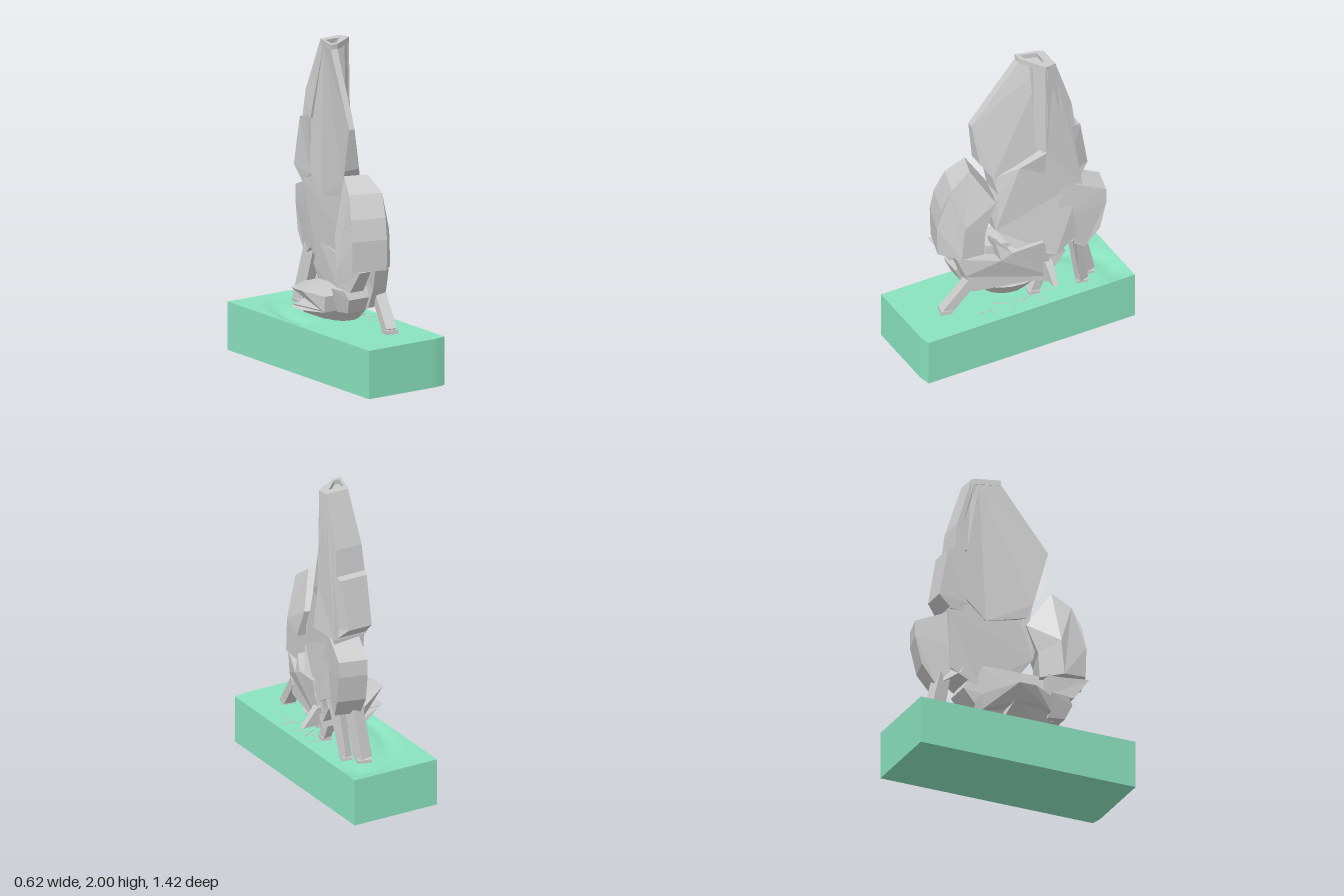
import * as THREE from 'three';

const grey = new THREE.MeshStandardMaterial({ color: 0xcccccc, flatShading: true });
const green = new THREE.MeshStandardMaterial({ color: 0x8ae2bf });

// Side-profile solid: each point is [z, y, right x, left x]
function slab(name, points) {
  let pts = points;
  const contour = pts.map(([z, y]) => new THREE.Vector2(-z, y));
  if (THREE.ShapeUtils.isClockWise(contour)) {
    pts = [...pts].reverse();
    contour.reverse();
  }
  const n = pts.length;
  const ring = side => pts.map(p => [p[side], p[1], p[0]]);
  const index = [];
  for (let i = 0; i < n; i++) {
    const j = (i + 1) % n;
    index.push(i, j, j + n, i, j + n, i + n);
  }
  for (const [a, b, c] of THREE.ShapeUtils.triangulateShape(contour, [])) {
    index.push(a + n, b + n, c + n, a, c, b);
  }
  let geo = new THREE.BufferGeometry();
  geo.setAttribute('position', new THREE.Float32BufferAttribute([...ring(2), ...ring(3)].flat(), 3));
  geo.setIndex(index);
  geo = geo.toNonIndexed();
  geo.computeVertexNormals();
  const mesh = new THREE.Mesh(geo, grey);
  mesh.name = name;
  return mesh;
}

// Group turned about the vertical axis, for the angled pods
function turned(name, x, z, angle, parts) {
  const group = new THREE.Group();
  group.name = name;
  group.position.set(x, 0, z);
  group.rotation.y = angle;
  group.add(...parts);
  return group;
}

function box(name, [w, h, d], [x, y, z], rotY = -0.25) {
  const mesh = new THREE.Mesh(new THREE.BoxGeometry(w, h, d), grey);
  mesh.position.set(x, y, z);
  mesh.rotation.y = rotY;
  mesh.name = name;
  return mesh;
}

// Bar from a to b
function strut(name, a, b, w, d) {
  const from = new THREE.Vector3(...a), to = new THREE.Vector3(...b);
  const mesh = new THREE.Mesh(new THREE.BoxGeometry(w, d, from.distanceTo(to)), grey);
  mesh.position.copy(from).add(to).multiplyScalar(0.5);
  mesh.lookAt(to);
  mesh.name = name;
  return mesh;
}

// Ground block with a gently tilted, scooped top and one clipped corner
function ground() {
  const geo = new THREE.BoxGeometry(0.575, 0.3, 1.425, 24, 1, 48);
  const p = geo.attributes.position;
  for (let i = 0; i < p.count; i++) {
    const x = p.getX(i) - 0.0125, z = p.getZ(i), top = p.getY(i) > 0;
    let y = (top ? 0.3 : 0) + 0.02 * (0.7125 - z) / 1.425;
    const groove = Math.hypot((x - 0.14) / 0.38, (z - 0.05) / 0.68) - 1;
    const edge = Math.min(0.275 - x, x + 0.3, 0.7125 - Math.abs(z));
    if (top && z < 0) y -= 0.02 * Math.exp(-groove * groove * 60) * Math.min(1, edge / 0.08);
    const clip = z > 0.712 ? 0.015 * Math.max(0, (x - 0.2) / 0.075) : 0;
    p.setXYZ(i, x, y, z - clip);
  }
  geo.computeVertexNormals();
  const mesh = new THREE.Mesh(geo, green);
  mesh.name = 'groundBlock';
  return mesh;
}

// Hollow rim at the tip of the fin
function tipRim() {
  const outline = pts => pts.map(([x, z]) => new THREE.Vector2(x, -z));
  const shape = new THREE.Shape(outline([[-0.02, -0.05], [0.03, -0.05], [0.13, -0.11], [0.19, -0.15], [0.18, -0.2], [0.02, -0.2]]));
  shape.holes.push(new THREE.Path(outline([[0.005, -0.075], [0.035, -0.18], [0.135, -0.17], [0.04, -0.075]])));
  const geo = new THREE.ExtrudeGeometry(shape, { depth: 0.035, bevelEnabled: false });
  geo.rotateX(-Math.PI / 2);
  geo.translate(0, 1.965, 0);
  const mesh = new THREE.Mesh(geo, grey);
  mesh.name = 'finTipRim';
  return mesh;
}

export function createModel() {
  const model = new THREE.Group();
  model.add(ground());

  // Tall fin: thin fore blade, chamfer up to a thicker aft block, two spine plates
  model.add(
    slab('finBlade', [
      [-0.05, 1.97, -0.02, 0.03], [-0.18, 1.97, 0.02, 0.12], [-0.3, 1.2, -0.01, 0.16],
      [-0.15, 1.05, -0.02, 0.16], [0.1, 1.1, -0.06, 0.09], [0.14, 1.19, -0.07, 0.06],
      [0.2, 1.28, -0.1, 0.0], [0.23, 1.54, -0.09, -0.05]]),
    slab('finChamfer', [
      [-0.1, 1.97, 0.03, 0.12], [-0.16, 1.97, 0.03, 0.19],
      [-0.16, 1.34, 0.0, 0.2], [-0.1, 1.4, 0.0, 0.13]]),
    slab('finAftBlock', [
      [-0.15, 1.97, 0.02, 0.19], [-0.21, 1.97, 0.02, 0.18], [-0.3, 1.65, 0.0, 0.19],
      [-0.38, 1.1, 0.0, 0.22], [-0.15, 1.1, 0.0, 0.23], [-0.15, 1.37, 0.0, 0.2]]),
    tipRim(),
    slab('upperSpine', [
      [-0.17, 2.0, 0.02, 0.19], [-0.22, 2.0, 0.03, 0.18], [-0.33, 1.67, 0.0, 0.18],
      [-0.35, 1.5, -0.01, 0.19], [-0.27, 1.5, -0.01, 0.195]]),
    slab('lowerSpine', [
      [-0.29, 1.52, -0.02, 0.195], [-0.39, 1.49, 0.0, 0.18], [-0.45, 1.18, 0.0, 0.16],
      [-0.37, 1.1, 0.0, 0.2], [-0.27, 1.15, -0.01, 0.21]]));

  // Body under the fin
  model.add(
    slab('body', [
      [0.14, 1.19, -0.065, 0.05], [0.12, 1.08, -0.06, 0.09], [0.17, 0.95, -0.06, 0.09],
      [0.15, 0.84, -0.05, 0.11], [0.06, 0.72, -0.03, 0.17], [-0.2, 0.62, 0.0, 0.23],
      [-0.36, 0.72, 0.03, 0.22], [-0.38, 1.1, 0.01, 0.22], [-0.15, 1.37, -0.005, 0.2],
      [0.0, 1.27, -0.03, 0.14]]),
    slab('lowerBody', [
      [0.2, 0.72, -0.08, 0.08], [-0.2, 0.76, 0.0, 0.2], [-0.28, 0.6, 0.02, 0.2],
      [-0.15, 0.42, 0.0, 0.18], [0.25, 0.42, -0.12, 0.08]]));

  // Front pod: a rounded nose narrowing forward and a rear half narrowing back
  model.add(turned('frontPod', -0.05, 0.31, -0.3, [
    slab('frontPodNose', [
      [-0.05, 1.26, -0.1, 0.05], [0.07, 1.17, -0.11, 0.1], [0.135, 1.03, -0.12, 0.1],
      [0.16, 0.9, -0.12, 0.1], [0.155, 0.71, -0.12, 0.1], [0.02, 0.7, -0.175, 0.17],
      [0.0, 0.92, -0.175, 0.17]]),
    slab('frontPodRear', [
      [-0.05, 1.26, -0.1, 0.05], [-0.2, 1.05, -0.08, 0.11], [-0.13, 0.86, -0.1, 0.14],
      [-0.12, 0.7, -0.1, 0.14], [0.02, 0.7, -0.175, 0.17], [0.0, 0.92, -0.175, 0.17]])]));

  // Rear pod: flat flanks, with a rounded under edge
  model.add(turned('rearPod', 0.13, -0.38, -0.26, [
    slab('rearPodShell', [
      [0.08, 1.11, -0.08, 0.1], [-0.17, 1.02, -0.08, 0.1], [-0.17, 0.92, -0.08, 0.1],
      [-0.13, 0.74, -0.08, 0.1], [-0.04, 0.61, -0.07, 0.09], [0.11, 0.7, -0.09, 0.11],
      [0.16, 0.84, -0.09, 0.11]])]));

  // Left flank armour, right sponson and the machinery beneath the front pod
  model.add(
    slab('leftArmour', [
      [0.4, 0.69, -0.02, 0.08], [0.15, 0.66, 0.04, 0.18], [0.17, 0.77, 0.04, 0.15],
      [0.08, 0.7, 0.06, 0.19], [-0.12, 0.73, 0.1, 0.22], [-0.2, 0.44, 0.1, 0.2],
      [0.3, 0.44, 0.0, 0.11], [0.35, 0.56, 0.0, 0.1]]),
    slab('rightSponson', [
      [0.19, 0.52, -0.24, -0.04], [0.05, 0.54, -0.31, -0.04], [-0.06, 0.54, -0.31, -0.02],
      [-0.21, 0.52, -0.1, 0.02], [-0.2, 0.43, -0.08, 0.02], [-0.06, 0.42, -0.31, 0.0],
      [0.05, 0.42, -0.31, 0.0], [0.18, 0.42, -0.24, -0.02]]),
    slab('sponsonKeel', [
      [0.18, 0.43, -0.24, 0.0], [-0.08, 0.43, -0.28, 0.0],
      [-0.1, 0.36, -0.18, 0.0], [0.12, 0.36, -0.18, 0.0]]),
    slab('chinBlock', [
      [0.2, 0.57, -0.2, 0.0], [0.32, 0.57, -0.19, -0.02], [0.35, 0.52, -0.18, -0.03],
      [0.31, 0.43, -0.16, -0.03], [0.2, 0.42, -0.16, 0.0]]),
    slab('podMount', [
      [0.46, 0.71, -0.18, -0.1], [0.36, 0.57, -0.18, -0.08],
      [0.2, 0.57, -0.16, -0.06], [0.2, 0.71, -0.16, -0.06]]),
    box('podBrace', [0.03, 0.18, 0.06], [-0.02, 0.66, 0.22]),
    box('sideHatch', [0.03, 0.14, 0.04], [0.2, 0.5, -0.15]),
    slab('sideFin', [
      [-0.13, 0.57, 0.19, 0.22], [-0.18, 0.57, 0.19, 0.22],
      [-0.17, 0.45, 0.18, 0.31], [-0.14, 0.45, 0.18, 0.31]]));

  // Shallow rounded keel
  const keel = new THREE.Mesh(new THREE.CylinderGeometry(0.21, 0.13, 0.09, 16), grey);
  keel.position.set(-0.01, 0.385, 0.03);
  keel.scale.set(0.85, 1, 1.1);
  keel.rotation.y = -0.25;
  keel.name = 'keel';
  model.add(keel);

  // Landing legs, each with a foot
  const legs = [
    ['frontLeg', [0.08, 0.53, 0.29], [0.045, 0.32, 0.46], 0.07, 0.06],
    ['rearRightLeg', [0.1, 0.68, -0.39], [0.08, 0.33, -0.48], 0.08, 0.08],
    ['rearLeftLeg', [0.18, 0.7, -0.34], [0.16, 0.33, -0.41], 0.05, 0.06],
    ['middleLeg', [0.12, 0.46, -0.16], [0.12, 0.33, -0.1], 0.05, 0.06]];
  for (const [name, a, b, w, d] of legs) {
    model.add(strut(name, a, b, w, d));
    model.add(box(name + 'Foot', [w + 0.01, 0.025, d + 0.01], [b[0], 0.32, b[2]]));
  }
  model.add(strut('rearLeftBrace', [0.21, 0.68, -0.32], [0.18, 0.4, -0.38], 0.02, 0.03));

  // Thin twigs lying on the ground
  for (let i = 0; i < 8; i++) {
    model.add(box('twig', [0.004, 0.004, 0.1], [0.17 + 0.03 * Math.sin(i * 2.4), 0.312, 0.25 - i * 0.06], i * 1.3));
  }
  return model;
}
